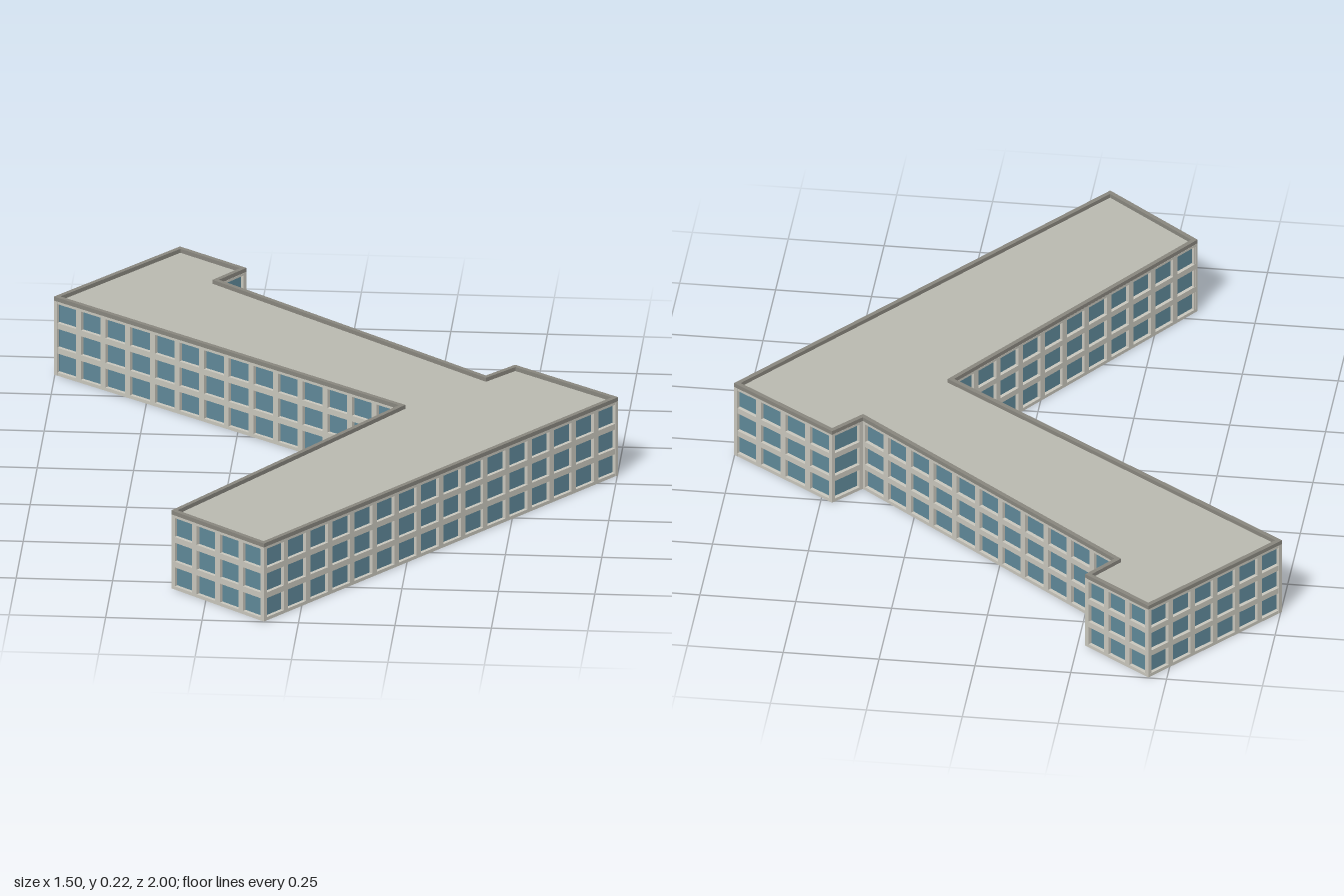
import * as THREE from 'three';
import { mergeGeometries } from 'three/addons/utils/BufferGeometryUtils.js';

const material = (name, color, side = THREE.FrontSide) =>
  Object.assign(new THREE.MeshStandardMaterial({ color, side }), { name });

// Footprint corners as [x, z], anticlockwise seen from above
const FOOTPRINT = [
  [-0.09, 0.998], [0.752, -0.06], [0.47, -0.26], [0.4, -0.182], [-0.335, -0.78],
  [-0.27, -0.865], [-0.452, -0.998], [-0.753, -0.635], [0.19, 0.035], [-0.345, 0.79],
].map(([x, z]) => new THREE.Vector2(x, -z));

const FLOORS = 3, FLOOR_H = 0.069, WALL_H = FLOORS * FLOOR_H;
const TOP = 0.218, BAY = 0.083, WALL_T = 0.012, RIM = 0.012;

// Moves every edge of a closed outline inwards by d, with mitred corners
function inset(points, d) {
  const n = points.length;
  return points.map((p, i) => {
    const a = p.clone().sub(points[(i + n - 1) % n]).normalize();
    const b = points[(i + 1) % n].clone().sub(p).normalize();
    const na = new THREE.Vector2(-a.y, a.x), nb = new THREE.Vector2(-b.y, b.x);
    const miter = na.clone().add(nb);
    return p.clone().addScaledVector(miter, d / (1 + na.dot(nb)));
  });
}

export function createModel() {
  const wallMat = material('wall concrete', 0xc8c6bc);
  const glassMat = material('window glass', 0x5f8898, THREE.DoubleSide);
  const roofMat = material('roof', 0xb9b9b0, THREE.DoubleSide);
  const rimMat = material('parapet', 0x88867e);

  const model = new THREE.Group();
  model.name = 'building';
  const add = (parent, name, geometry, mat) => {
    const mesh = new THREE.Mesh(geometry, mat);
    mesh.name = name;
    parent.add(mesh);
    return mesh;
  };

  // One facade per footprint edge: pierced wall grid with recessed panes
  FOOTPRINT.forEach((p, i) => {
    const q = FOOTPRINT[(i + 1) % FOOTPRINT.length];
    const length = p.distanceTo(q);
    const bays = Math.max(1, Math.round(length / BAY));
    const pitch = length / bays, w = pitch * 0.8, h = 0.053;

    const wall = new THREE.Shape([
      new THREE.Vector2(0, 0), new THREE.Vector2(length, 0),
      new THREE.Vector2(length, WALL_H), new THREE.Vector2(0, WALL_H),
    ]);
    const panes = [];
    for (let f = 0; f < FLOORS; f++) {
      for (let b = 0; b < bays; b++) {
        const x = b * pitch + (pitch - w) / 2, y = f * FLOOR_H + 0.009;
        wall.holes.push(new THREE.Path([
          new THREE.Vector2(x, y), new THREE.Vector2(x, y + h),
          new THREE.Vector2(x + w, y + h), new THREE.Vector2(x + w, y),
        ]));
        panes.push(new THREE.PlaneGeometry(w, h).translate(x + w / 2, y + h / 2, -WALL_T + 0.002));
      }
    }

    const facade = new THREE.Group();
    facade.name = `facade${i + 1}`;
    facade.position.set(p.x, 0, -p.y);
    facade.rotation.y = Math.atan2(q.y - p.y, q.x - p.x);
    const grid = new THREE.ExtrudeGeometry(wall, { depth: WALL_T, bevelEnabled: false });
    add(facade, 'wallGrid', grid.translate(0, 0, -WALL_T), wallMat);
    add(facade, 'windows', mergeGeometries(panes), glassMat);
    model.add(facade);
  });

  // Flat roof, sunk behind the parapet
  const roof = new THREE.ShapeGeometry(new THREE.Shape(FOOTPRINT));
  roof.scale(0.999, 0.999, 1).rotateX(-Math.PI / 2);
  add(model, 'roof', roof, roofMat).position.y = WALL_H;

  // Parapet rim around the roof edge
  const ring = new THREE.Shape(FOOTPRINT);
  ring.holes.push(new THREE.Path(inset(FOOTPRINT, RIM)));
  const rim = new THREE.ExtrudeGeometry(ring, { depth: TOP - WALL_H, bevelEnabled: false });
  add(model, 'parapet', rim.rotateX(-Math.PI / 2), rimMat).position.y = WALL_H;

  return model;
}
